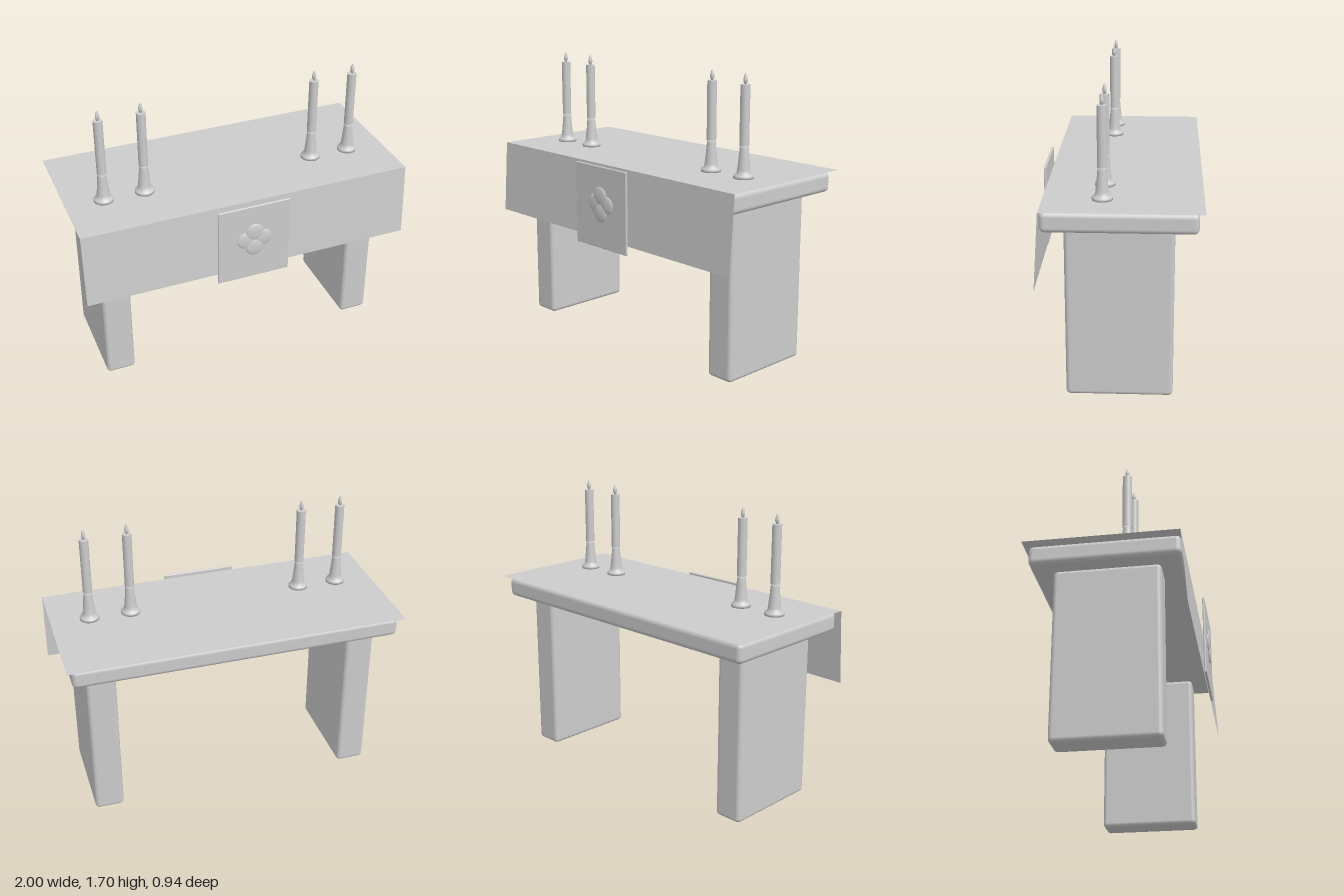
import * as THREE from 'three';
import { RoundedBoxGeometry } from 'three/addons/geometries/RoundedBoxGeometry.js';

export function createModel() {
  const model = new THREE.Group();
  model.name = 'altarTable';
  const grey = new THREE.MeshStandardMaterial({ color: 0xcccccc, side: THREE.DoubleSide });
  grey.name = 'light grey';

  function add(name, geometry, x = 0, y = 0, z = 0, parent = model) {
    const mesh = new THREE.Mesh(geometry, grey);
    mesh.name = name;
    mesh.position.set(x, y, z);
    parent.add(mesh);
    return mesh;
  }
  // Rounded block given by its limits on each axis
  function block(name, [x0, x1], [y0, y1], [z0, z1], radius) {
    const g = new RoundedBoxGeometry(x1 - x0, y1 - y0, z1 - z0, 4, radius);
    return add(name, g, (x0 + x1) / 2, (y0 + y1) / 2, (z0 + z1) / 2);
  }
  const lathe = (points, sides = 32) =>
    new THREE.LatheGeometry(points.map(([r, y]) => new THREE.Vector2(r, y)), sides);

  // Table: slab on two broad legs
  block('tableTop', [-0.97, 0.97], [0.995, 1.112], [-0.44, 0.4], 0.03);
  block('rightLeg', [-0.88, -0.705], [0, 0.995], [-0.315, 0.28], 0.025);
  block('leftLeg', [0.705, 0.88], [0, 0.995], [-0.315, 0.28], 0.025);

  // Cloth: flat sheet on top and a slightly flared drop at the front
  const sheet = new THREE.PlaneGeometry(2, 0.87);
  sheet.rotateX(-Math.PI / 2);
  add('clothTop', sheet, 0, 1.122, -0.035);
  const drop = new THREE.PlaneGeometry(2, Math.hypot(0.442, 0.03));
  drop.rotateX(-Math.atan2(0.03, 0.442));
  add('clothFront', drop, 0, 0.901, 0.415);

  // Hanging panel with a four-lobed emblem
  block('panel', [-0.222, 0.222], [0.63, 1.122], [0.441, 0.455], 0.006);
  const lobe = new THREE.SphereGeometry(0.054, 32, 20);
  lobe.scale(1, 1, 0.2);
  for (const [x, y, z] of [[-0.053, 0.898, 0.456], [0.053, 0.898, 0.456], [0, 0.948, 0.459], [0, 0.843, 0.459]]) {
    add('emblemLobe', lobe, x, y, z);
  }

  // Candles in flared holders
  const holder = lathe([[0, 0], [0.057, 0], [0.057, 0.012], [0.053, 0.018], [0.041, 0.028],
    [0.037, 0.045], [0.031, 0.1], [0.025, 0.165], [0.024, 0.182], [0, 0.182]]);
  const candle = new THREE.CylinderGeometry(0.027, 0.027, 0.335, 32);
  const flame = lathe([[0, 0], [0.006, 0.003], [0.012, 0.018], [0.012, 0.03], [0.007, 0.05], [0, 0.064]], 20);
  for (const x of [-0.775, -0.53, 0.523, 0.77]) {
    const group = new THREE.Group();
    group.name = 'candlestick';
    group.position.set(x, 1.122, 0.077);
    add('holder', holder, 0, 0, 0, group);
    add('candle', candle, 0, 0.3475, 0, group);
    add('flame', flame, 0, 0.514, 0, group);
    model.add(group);
  }
  return model;
}
